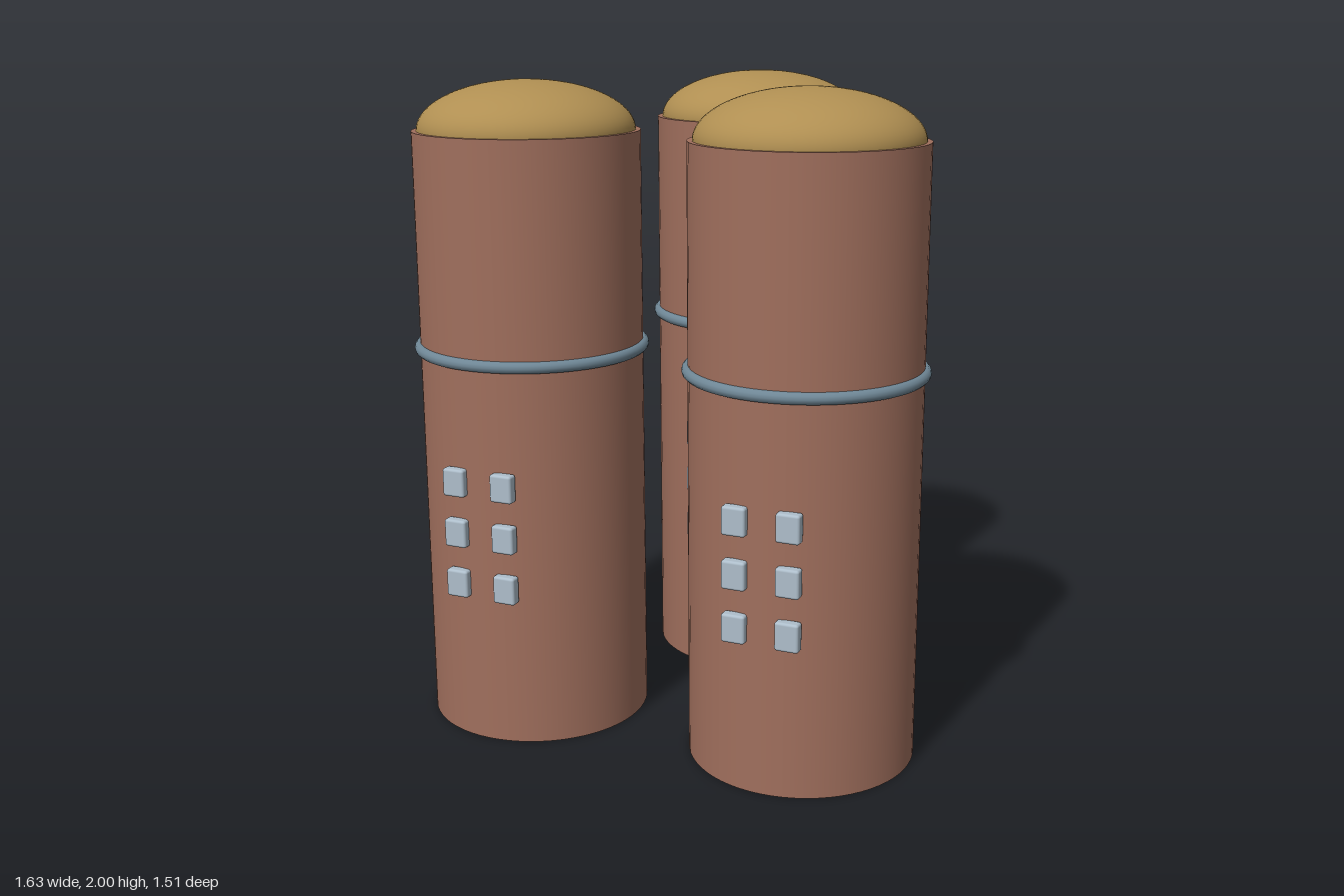
import * as THREE from 'three';
import { RoundedBoxGeometry } from 'three/addons/geometries/RoundedBoxGeometry.js';

const material = (name, color) => {
  const m = new THREE.MeshStandardMaterial({ color });
  m.name = name;
  return m;
};

export function createModel() {
  const clay = material('clay brown', 0xa06f5d);
  const ochre = material('ochre', 0xb08f52);
  const steel = material('steel blue', 0x6f8796);
  const glass = material('pale glass', 0xaebecb);

  const R = 0.345, WALL = 1.85;
  const wallGeo = new THREE.CylinderGeometry(R, R, WALL, 64);
  const domeGeo = new THREE.SphereGeometry(0.33, 64, 20, 0, Math.PI * 2, 0, Math.PI / 2);
  domeGeo.scale(1, 0.15 / 0.33, 1);
  const bandGeo = new THREE.TorusGeometry(R, 0.018, 12, 64);
  bandGeo.rotateX(Math.PI / 2);
  const paneGeo = new RoundedBoxGeometry(0.072, 0.086, 0.036, 2, 0.008);

  const add = (parent, name, geo, mat, x, y, z) => {
    const mesh = new THREE.Mesh(geo, mat);
    mesh.name = name;
    mesh.position.set(x, y, z);
    parent.add(mesh);
  };

  // One silo: wall, shallow dome, band and a 2 x 3 block of windows
  const makeSilo = (name, x, z) => {
    const silo = new THREE.Group();
    silo.name = name;
    silo.position.set(x, 0, z);
    add(silo, 'wall', wallGeo, clay, 0, WALL / 2, 0);
    add(silo, 'dome', domeGeo, ochre, 0, WALL, 0);
    add(silo, 'band', bandGeo, steel, 0, 1.19, 0);
    for (const y of [0.505, 0.665, 0.825])
      for (const side of [-1, 1])
        add(silo, 'window', paneGeo, glass, side * 0.081, y, 0.347);
    return silo;
  };

  // Three silos in a triangle
  const model = new THREE.Group();
  model.name = 'siloCluster';
  model.add(
    makeSilo('leftSilo', 0.453, 0.391),
    makeSilo('rightSilo', -0.453, 0.391),
    makeSilo('backSilo', 0, -0.393)
  );
  return model;
}
